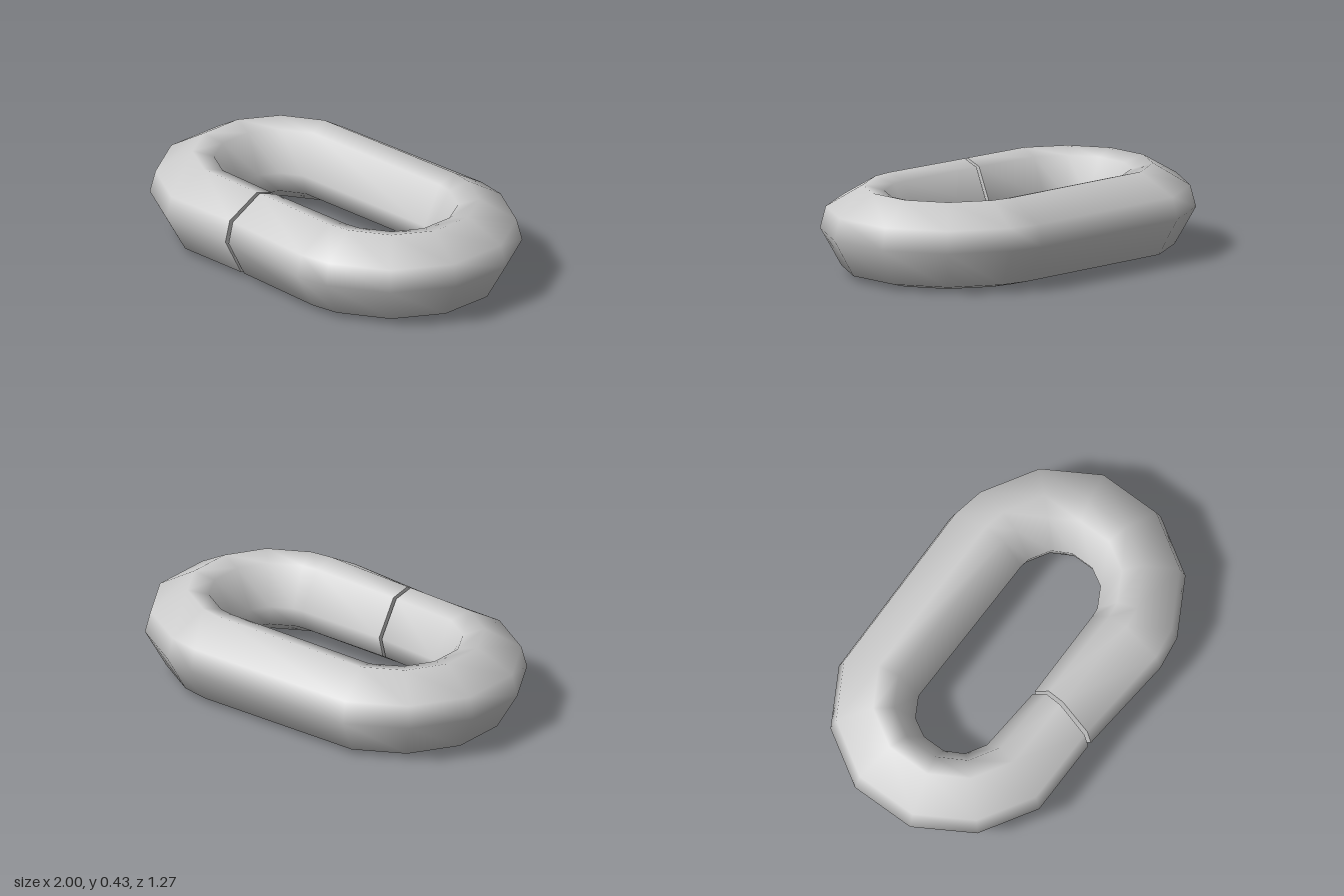
import * as THREE from 'three';

// Uneven eight-sided tube section, in degrees (0 = outer side, 90 = top)
const ANGLES = [0, 30, 90, 120, 180, 210, 270, 300].map(THREE.MathUtils.degToRad);
const HALF_HEIGHT = 0.213;

// Rings of the link: [outer x, outer z, inner x, inner z]
const bend = [[0.55, 0.607, 0.44, 0.207], [0.83, 0.445, 0.54, 0.15], [1, 0.167, 0.59, 0.06]];
const flip = (list, sx, sz) => list.map(([ox, oz, ix, iz]) => [ox * sx, oz * sz, ix * sx, iz * sz]);
const RINGS = [
  [-0.128, 0.6, -0.083, 0.225],              // right-hand lip of the gap
  [0.38, 0.635, 0.39, 0.213],
  ...bend,
  ...flip(bend, 1, -1).reverse(),
  [0.38, -0.637, 0.39, -0.215],
  ...flip(bend, -1, -1),
  ...flip(bend, -1, 1).reverse(),
  [-0.15, 0.6, -0.1, 0.225],                 // left-hand lip of the gap
];

function ringPoints([ox, oz, ix, iz]) {
  return ANGLES.flatMap((a) => {
    const t = (1 + Math.cos(a)) / 2;
    return [ix + (ox - ix) * t, HALF_HEIGHT * (1 + Math.sin(a)), iz + (oz - iz) * t];
  });
}

function buildMesh(name, positions, index) {
  const geometry = new THREE.BufferGeometry();
  geometry.setAttribute('position', new THREE.Float32BufferAttribute(positions, 3));
  geometry.setIndex(index);
  geometry.computeVertexNormals();
  const mesh = new THREE.Mesh(geometry, new THREE.MeshStandardMaterial({ color: 0xcccccc }));
  mesh.name = name;
  return mesh;
}

// Smooth tube skin between neighbouring rings
function linkBody() {
  const n = ANGLES.length, index = [];
  for (let i = 0; i < RINGS.length - 1; i++) {
    for (let j = 0; j < n; j++) {
      const a = i * n + j, b = i * n + (j + 1) % n;
      index.push(a, a + n, b, b, a + n, b + n);
    }
  }
  return buildMesh('linkBody', RINGS.flatMap(ringPoints), index);
}

// Flat cap closing one end of the open link
function gapCap(name, ring, reverse) {
  const index = [];
  for (let j = 1; j < ANGLES.length - 1; j++) {
    index.push(0, ...(reverse ? [j + 1, j] : [j, j + 1]));
  }
  return buildMesh(name, ringPoints(ring), index);
}

export function createModel() {
  const group = new THREE.Group();
  group.name = 'chainLink';
  group.add(
    linkBody(),
    gapCap('gapCapLeft', RINGS[0], false),
    gapCap('gapCapRight', RINGS[RINGS.length - 1], true),
  );
  return group;
}
